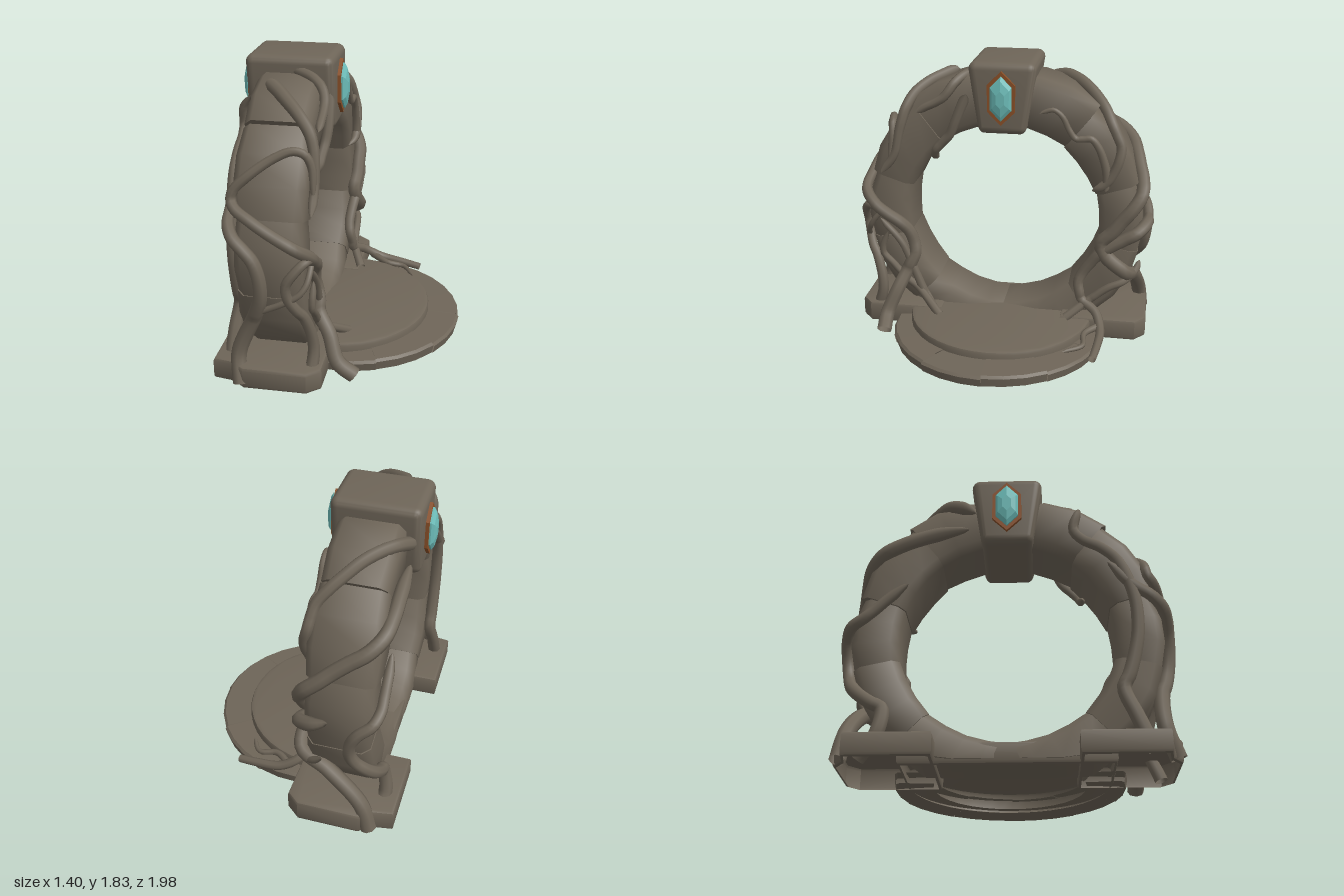
import * as THREE from 'three';
import { toCreasedNormals } from 'three/addons/utils/BufferGeometryUtils.js';
import { RoundedBoxGeometry } from 'three/addons/geometries/RoundedBoxGeometry.js';

const CY = 0.78, CZ = -0.02; // ring centre
const rad = THREE.MathUtils.degToRad;

// Skin a list of equal-length cross-sections and close both ends
function loft(sections, crease) {
  const n = sections[0].length, pos = sections.flat(2), idx = [];
  for (let i = 0; i < sections.length - 1; i++) {
    for (let j = 0; j < n; j++) {
      const k = (j + 1) % n, a = i * n, b = a + n;
      idx.push(a + j, b + j, b + k, a + j, b + k, a + k);
    }
  }
  const last = (sections.length - 1) * n;
  for (let j = 1; j < n - 1; j++) {
    idx.push(0, j, j + 1, last, last + j + 1, last + j);
  }
  const g = new THREE.BufferGeometry();
  g.setAttribute('position', new THREE.Float32BufferAttribute(pos, 3));
  g.setIndex(idx);
  return toCreasedNormals(g, crease);
}

// One curved stone of the ring between two angles (0 = +z, 90 = up)
function ringStone(from, to, outerFrom, outerTo, grow) {
  const steps = Math.max(3, Math.round(Math.abs(to - from) / 13)), sections = [];
  for (let i = 0; i <= steps; i++) {
    const t = i / steps, a = rad(from + (to - from) * t);
    const s = (i === 0 || i === steps ? -0.012 : 0) + grow, c = 0.045;
    const ri = 0.635 - s * 0.5, ro = outerFrom + (outerTo - outerFrom) * t + s;
    const x0 = -0.545 - s, x1 = -0.145 + s;
    const section = [[ro - c, x1], [ro, x1 - c], [ro, x0 + c], [ro - c, x0],
      [ri + c, x0], [ri, x0 + c], [ri, x1 - c], [ri + c, x1]];
    sections.push(section.map(([r, x]) =>
      [x, Math.max(0.04, CY + r * Math.sin(a)), CZ + r * Math.cos(a)]));
  }
  if (to < from) sections.reverse();
  return loft(sections, 0.85);
}

// Point on the ring's skin; turn goes round its section: 0 outer, 90 the +x face, 180 inner
function onRing(angle, turn) {
  const a = rad(angle), c = Math.cos(rad(turn)), s = Math.sin(rad(turn));
  const k = (c ** 4 + s ** 4) ** -0.25;
  const shoulder = Math.max(0, 1 - Math.abs(Math.min(angle, 180 - angle) - 58) / 35);
  const r = 0.775 + (0.175 + (c > 0 ? 0.06 * shoulder : 0)) * k * c;
  return new THREE.Vector3(-0.345 + 0.24 * k * s, CY + r * Math.sin(a), CZ + r * Math.cos(a));
}

// Tapering vine: a free trail of [x, y, z], then knots of [angle, turn] winding over the ring
function vine(r0, r1, trail, knots) {
  const points = trail.map(p => new THREE.Vector3(...p));
  if (knots.length) {
    const wind = new THREE.SplineCurve(knots.map(k => new THREE.Vector2(...k)));
    points.push(...wind.getPoints(knots.length * 2).map(p => onRing(p.x, p.y)));
  }
  const curve = new THREE.CatmullRomCurve3(points);
  const seg = points.length * 4, sides = 8;
  const g = new THREE.TubeGeometry(curve, seg, 1, sides);
  const pos = g.attributes.position, v = new THREE.Vector3();
  for (let i = 0; i <= seg; i++) {
    const t = i / seg, c = curve.getPointAt(t);
    const start = trail.length ? 1 : Math.sqrt(t * 14) + 0.05;
    const r = (r0 + (r1 - r0) * t) * Math.min(1, start, Math.sqrt((1 - t) * 12) + 0.05);
    for (let j = 0; j <= sides; j++) {
      const k = i * (sides + 1) + j;
      v.fromBufferAttribute(pos, k).sub(c).multiplyScalar(r).add(c);
      pos.setXYZ(k, v.x, Math.max(0, v.y), v.z);
    }
  }
  return g;
}

// Upright slab from an outline of [x, z], hollow underneath
function hollowSlab(outline, y0, y1) {
  const b = 0.02;
  const shape = new THREE.Shape(outline.map(([x, z]) => new THREE.Vector2(x, -z)));
  const g = new THREE.ExtrudeGeometry(shape, { depth: y1 - y0 - 2 * b,
    bevelThickness: b, bevelSize: b, bevelOffset: -b, bevelSegments: 2 });
  g.rotateX(-Math.PI / 2).translate(0, y0 + b, 0);
  const p = g.attributes.position, keep = [];
  for (let i = 0; i < p.count; i += 3) {
    const bottom = [0, 1, 2].every(k => p.getY(i + k) < y0 + 0.001);
    if (!bottom) for (let k = 0; k < 3; k++) keep.push(p.getX(i + k), p.getY(i + k), p.getZ(i + k));
  }
  const out = new THREE.BufferGeometry();
  out.setAttribute('position', new THREE.Float32BufferAttribute(keep, 3));
  return toCreasedNormals(out, 0.7);
}

// Tall hexagon as [z, y], counted from +z towards +y
const hexagon = (w, h, s) => [[w, -s], [w, s], [0, h], [-w, s], [-w, -s], [0, -h]];

export function createModel() {
  const model = new THREE.Group();
  const stone = new THREE.MeshStandardMaterial({ name: 'weathered stone', color: 0x6e6558, side: THREE.DoubleSide });
  const gemBlue = new THREE.MeshStandardMaterial({ name: 'turquoise gem', color: 0x6cbcb8 });
  const copper = new THREE.MeshStandardMaterial({ name: 'copper', color: 0x8a5028 });
  const add = (name, geometry, material = stone, parent = model) => {
    const m = new THREE.Mesh(geometry, material);
    m.name = name;
    parent.add(m);
    return m;
  };

  // A broad foot under either leg
  const foot = [[-0.7, 0.4], [-0.7, 0.89], [-0.58, 0.91], [-0.5, 0.97],
    [-0.12, 0.97], [-0.04, 0.9], [-0.04, 0.4]];
  add('frontFoot', hollowSlab(foot.map(([x, z]) => [x, CZ + z]), 0.01, 0.15));
  add('backFoot', hollowSlab(foot.map(([x, z]) => [x, CZ - z]), 0.01, 0.15));

  // Platform between the feet, round at the open side
  const round = [[-0.54, CZ + 0.61]];
  for (let i = 0; i <= 22; i++) {
    const a = Math.PI * i / 22;
    round.push([-0.115 + 0.61 * Math.sin(a), CZ + 0.61 * Math.cos(a)]);
  }
  round.push([-0.54, CZ - 0.61]);
  add('platform', hollowSlab(round, 0.01, 0.14));

  // Lower step: a half circle of separate slabs
  for (let i = 0; i < 6; i++) {
    const r = 0.7 - (i % 2) * 0.006, y = 0.08 + (i % 2) * 0.005;
    const profile = [[0.46, 0.03], [r - 0.03, 0.02], [r - 0.012, 0.012],
      [r, y - 0.015], [r - 0.015, y], [0.46, y + 0.01]];
    const g = new THREE.LatheGeometry(profile.map(p => new THREE.Vector2(...p)), 3,
      rad(-14 + i * 34.7), rad(34.7));
    add('lowerStep', toCreasedNormals(g, 0.6)).position.z = CZ;
  }

  // Ring stones, mirrored about the keystone: [from, to, outer radius at each end, swelling]
  const stones = [[-92, -46, 0.9, 0.9, 0], [-46, -12, 0.9, 0.92, 0.005], [-12, 18, 0.92, 0.91, 0],
    [18, 52, 0.92, 0.95, 0.012], [52, 88, 1.0, 0.965, 0]];
  for (const [from, to, ...shape] of stones) {
    add('frontRingStone', ringStone(from, to, ...shape));
    add('backRingStone', ringStone(180 - from, 180 - to, ...shape));
  }

  // Keystone, narrowing downwards
  const key = new RoundedBoxGeometry(0.54, 0.46, 0.43, 4, 0.05);
  const kp = key.attributes.position;
  for (let i = 0; i < kp.count; i++) {
    const t = Math.max(0, Math.min(1, (0.17 - kp.getY(i)) / 0.4));
    kp.setZ(i, kp.getZ(i) * (1 - 0.3 * t));
  }
  add('keystone', toCreasedNormals(key, 0.8)).position.set(-0.36, 1.6, CZ);

  // Framed gem on both faces of the keystone
  for (const side of [1, -1]) {
    const jewel = new THREE.Group();
    jewel.name = side > 0 ? 'leftJewel' : 'rightJewel';
    const toPath = h => h.map(([z, y]) => new THREE.Vector2(z, y));
    const shape = new THREE.Shape(toPath(hexagon(0.088, 0.172, 0.085)));
    shape.holes.push(new THREE.Path(toPath(hexagon(0.066, 0.14, 0.07))));
    const frame = new THREE.ExtrudeGeometry(shape, { depth: 0.04, bevelEnabled: false });
    frame.rotateY(Math.PI / 2).translate(-0.02, 0, 0);
    add('gemFrame', frame, copper, jewel);
    const layers = [[-0.02, 1], [0.03, 1], [0.046, 0.8], [0.058, 0.38]];
    add('gem', loft(layers.map(([x, s]) =>
      hexagon(0.068 * s, 0.143 * s, 0.072 * s).map(([z, y]) => [x, y, z])), 0.2), gemBlue, jewel);
    jewel.position.set(-0.36 + side * 0.27, 1.61, CZ);
    jewel.rotation.y = side > 0 ? 0 : Math.PI;
    model.add(jewel);
  }

  // Thick vines rooted on the front foot
  add('frontVine', vine(0.05, 0.022, [[0.13, 0.04, 0.74], [0.03, 0.12, 0.74], [-0.03, 0.27, 0.68]],
    [[-31, 98], [-23, 130], [-7, 125], [3, 75], [13, 10], [22, -42], [29, -40], [41, 20], [39, 52], [25, 75]]));
  add('frontVine', vine(0.05, 0.032, [[-0.52, 0.03, 0.92], [-0.54, 0.2, 0.86]],
    [[-21, -22], [-9, -8], [3, -15], [12, -45], [24, -85], [38, -95]]));
  add('frontVine', vine(0.045, 0.03, [[-0.62, 0.05, 0.78], [-0.61, 0.25, 0.7]],
    [[-28, -100], [-8, -100], [24, -85], [39, -80], [58, -90], [63, -40]]));
  add('frontVine', vine(0.04, 0.025, [[-0.12, 0.03, 0.87], [-0.1, 0.25, 0.8]],
    [[-20, 45], [-6, 25], [4, 55], [-2, 92]]));

  // Thin roots climbing the front leg
  add('frontRoot', vine(0.035, 0.02, [[-0.03, 0.08, 0.4]], [[-48, 90], [-33, 110], [-15, 110], [-2, 75]]));
  add('frontRoot', vine(0.03, 0.02, [[0.03, 0.13, 0.38]], [[-42, 90], [-26, 75], [-18, 65], [-9, 88]]));
  add('frontRoot', vine(0.02, 0.018, [], [[-18, -20], [-10, 35], [-2, 65], [3, 85]]));

  // Vines hanging from the front shoulder
  add('frontShoulderVine', vine(0.045, 0.025, [], [[70, -25], [63, 0], [50, 42], [40, 62], [30, 75], [20, 65]]));
  add('frontShoulderVine', vine(0.036, 0.025, [], [[81, 0], [72, 42], [64, 62], [52, 60]]));
  add('frontShoulderVine', vine(0.034, 0.025, [], [[75, 65], [61, 120], [45, 135], [40, 160]]));

  // Vines winding up the back leg
  add('backVine', vine(0.05, 0.042, [[-0.56, 0.03, -0.95], [-0.5, 0.2, -0.93]],
    [[204, 15], [194, 120], [179, 95], [167, 45], [157, 5], [147, -40], [130, -75], [108, -100]]));
  add('backVine', vine(0.045, 0.03, [[-0.57, 0.03, -0.84], [-0.61, 0.16, -0.74]],
    [[213, -70], [202, -45], [191, -20], [180, -30], [171, -75], [160, -105], [150, -120]]));
  add('backVine', vine(0.025, 0.045, [[0.37, 0.08, -0.67], [0.24, 0.1, -0.69], [0.08, 0.13, -0.7], [-0.04, 0.2, -0.66]],
    [[224, 100], [216, 130], [196, 120], [184, 70], [177, 10]]));
  add('backRoot', vine(0.03, 0.022, [[-0.03, 0.15, -0.46]], [[221, 85], [210, 70], [197, 20]]));
  add('backRoot', vine(0.025, 0.012, [[0.02, 0.14, -0.7], [0.14, 0.13, -0.6], [0.26, 0.11, -0.6], [0.34, 0.1, -0.48]], []));

  // Vines hanging from the back shoulder
  add('backShoulderVine', vine(0.042, 0.03, [], [[103, -70], [113, -35], [124, 5], [136, 40], [146, 52], [155, 95], [158, 135]]));
  add('backShoulderVine', vine(0.014, 0.03, [], [[108, 90], [115, 75], [128, 98], [135, 78], [149, 90], [160, 110]]));

  return model;
}
